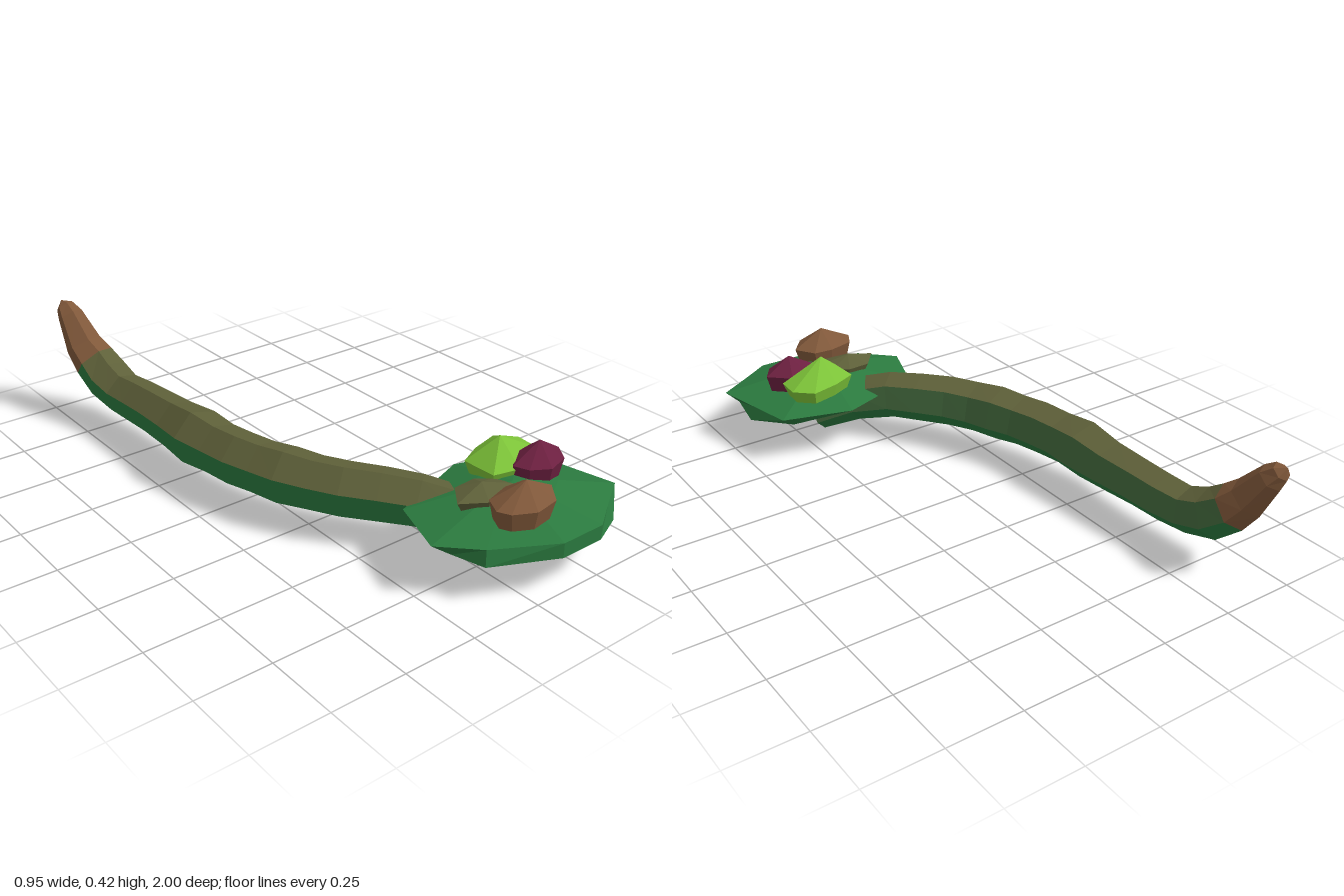
import * as THREE from 'three';

const mat = (name, color) => {
  const m = new THREE.MeshStandardMaterial({ color });
  m.name = name;
  return m;
};

// Flat-faced loft through rings of equal length; rings run counter-clockwise
// when seen from the end. pick(ring, side) gives the material index of a quad.
function loft(name, rings, materials, pick = () => 0, startTip = null, endTip = null) {
  const buckets = materials.map(() => []);
  const tri = (k, ...pts) => pts.forEach((p) => buckets[k].push(p.x, p.y, p.z));
  const n = rings[0].length;
  const centre = (ring) =>
    ring.reduce((s, p) => s.add(p), new THREE.Vector3()).divideScalar(n);
  for (let i = 0; i < rings.length - 1; i++) {
    for (let j = 0; j < n; j++) {
      const k = (j + 1) % n;
      const a = rings[i][j], b = rings[i][k], c = rings[i + 1][k], d = rings[i + 1][j];
      tri(pick(i, j), a, b, c, a, c, d);
    }
  }
  const first = rings[0], last = rings[rings.length - 1];
  const s = startTip || centre(first), e = endTip || centre(last);
  for (let j = 0; j < n; j++) {
    const k = (j + 1) % n;
    tri(pick(0, j), s, first[k], first[j]);
    tri(pick(rings.length - 2, j), e, last[j], last[k]);
  }
  const geo = new THREE.BufferGeometry();
  let start = 0;
  buckets.forEach((b, i) => {
    geo.addGroup(start, b.length / 3, i);
    start += b.length / 3;
  });
  geo.setAttribute('position', new THREE.Float32BufferAttribute(buckets.flat(), 3));
  geo.computeVertexNormals();
  const mesh = new THREE.Mesh(geo, materials.length > 1 ? materials : materials[0]);
  mesh.name = name;
  return mesh;
}

// Horizontal ring from [x, z] corners listed clockwise from above
const flatRing = (pts, y) => pts.map(([x, z]) => new THREE.Vector3(x, y, z)).reverse();

export function createModel() {
  const model = new THREE.Group();
  model.name = 'curvedStemWithDish';
  const green = mat('leafGreen', 0x2b7a3f);
  const moss = mat('mossGreen', 0x42673c);
  const olive = mat('oliveBrown', 0x5e6039);
  const brown = mat('barkBrown', 0x80583a);
  const lime = mat('limeGreen', 0x7cc238);
  const wine = mat('wineRed', 0x6c2040);

  // Curved six-sided stem, from raised tip to the end under the dish: x, y, z, radius
  const path = [
    [-0.437, 0.412, -0.972, 0.032], [-0.43, 0.382, -0.947, 0.046],
    [-0.42, 0.285, -0.88, 0.066], [-0.405, 0.235, -0.835, 0.076],
    [-0.39, 0.185, -0.77, 0.082], [-0.38, 0.157, -0.68, 0.076],
    [-0.37, 0.157, -0.58, 0.08], [-0.365, 0.16, -0.47, 0.082],
    [-0.36, 0.16, -0.34, 0.088], [-0.36, 0.165, -0.21, 0.1],
    [-0.35, 0.165, -0.1, 0.09], [-0.335, 0.165, 0, 0.092],
    [-0.31, 0.165, 0.09, 0.09], [-0.28, 0.165, 0.18, 0.096],
    [-0.24, 0.165, 0.27, 0.09], [-0.19, 0.165, 0.36, 0.09],
    [-0.12, 0.163, 0.45, 0.088], [-0.05, 0.158, 0.54, 0.084],
    [0.05, 0.125, 0.65, 0.08], [0.16, 0.066, 0.735, 0.066],
  ];
  const centres = path.map(([x, y, z]) => new THREE.Vector3(x, y, z));
  const stemRings = path.map(([, , , r], i) => {
    const dir = centres[Math.min(i + 1, path.length - 1)].clone()
      .sub(centres[Math.max(i - 1, 0)]).normalize();
    const side = new THREE.Vector3(0, 1, 0).cross(dir).normalize();
    const up = dir.clone().cross(side);
    return Array.from({ length: 6 }, (_, j) => {
      const a = ((-15 + j * 60) * Math.PI) / 180;
      return centres[i].clone()
        .addScaledVector(side, Math.cos(a) * r)
        .addScaledVector(up, Math.sin(a) * r);
    });
  });
  // Bark tip, olive back, moss flank, green belly
  const sideColour = [1, 2, 2, 0, 0, 0];
  model.add(loft('stem', stemRings, [green, moss, olive, brown],
    (i, j) => (i < 3 ? 3 : sideColour[j]),
    new THREE.Vector3(-0.44, 0.43, -0.99)));

  // Dish: flat underside, sharp rim, low domed top
  const rim = [
    [-0.22, 0.78], [-0.15, 0.58], [0.16, 0.47], [0.4, 0.54], [0.435, 0.7],
    [0.47, 0.86], [0.35, 0.935], [0.25, 1], [0.09, 1], [-0.11, 0.89],
  ];
  const base = [
    [-0.15, 0.79], [-0.1, 0.66], [0.14, 0.57], [0.34, 0.58], [0.45, 0.7],
    [0.42, 0.86], [0.365, 0.95], [0.25, 1], [0.09, 1], [-0.12, 0.9],
  ];
  const crown = rim.map(([x, z]) => [0.13 + (x - 0.13) * 0.45, 0.74 + (z - 0.74) * 0.45]);
  model.add(loft('dish',
    [flatRing(base, 0.13), flatRing(rim, 0.18), flatRing(crown, 0.226)],
    [green], undefined, null, new THREE.Vector3(0.14, 0.25, 0.74)));

  // Faceted lumps on the dish: outline, waist height, peak
  const lump = (name, material, pts, waist, peak) => {
    const cx = pts.reduce((s, p) => s + p[0], 0) / pts.length;
    const cz = pts.reduce((s, p) => s + p[1], 0) / pts.length;
    const scaled = (k) => pts.map(([x, z]) => [cx + (x - cx) * k, cz + (z - cz) * k]);
    const low = flatRing(scaled(0.85), 0.215);
    const mid = flatRing(pts, waist);
    model.add(loft(name, [low, mid], [material], undefined, null, new THREE.Vector3(...peak)));
  };
  lump('brownLump', brown, [
    [-0.06, 0.87], [-0.03, 0.81], [0.06, 0.785], [0.13, 0.79],
    [0.175, 0.86], [0.12, 0.93], [0.03, 0.945], [-0.04, 0.91],
  ], 0.277, [0.06, 0.337, 0.865]);
  lump('oliveLump', olive, [
    [-0.08, 0.735], [-0.02, 0.66], [0.06, 0.655], [0.11, 0.69],
    [0.14, 0.75], [0.1, 0.79], [0.0, 0.785],
  ], 0.245, [0.03, 0.275, 0.72]);
  lump('wineLump', wine, [
    [0.17, 0.71], [0.23, 0.655], [0.3, 0.645], [0.37, 0.71],
    [0.33, 0.77], [0.25, 0.795], [0.19, 0.76],
  ], 0.275, [0.275, 0.333, 0.715]);
  lump('limeLump', lime, [
    [0.095, 0.58], [0.18, 0.54], [0.28, 0.515], [0.34, 0.57],
    [0.335, 0.655], [0.19, 0.72], [0.1, 0.7],
  ], 0.262, [0.19, 0.34, 0.63]);

  return model;
}
